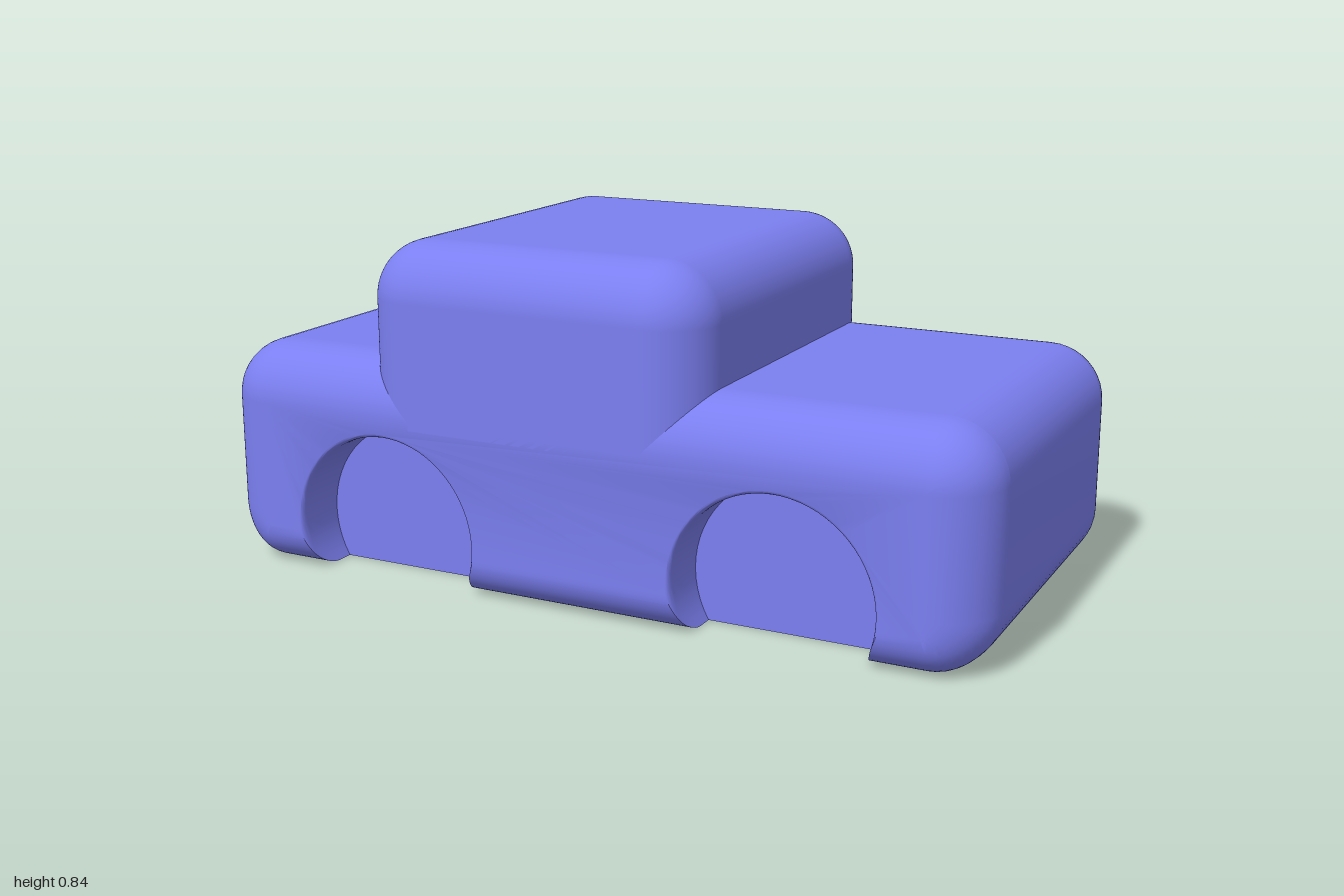
import * as THREE from 'three';
import { mergeGeometries, toCreasedNormals } from 'three/addons/utils/BufferGeometryUtils.js';
import { RoundedBoxGeometry } from 'three/addons/geometries/RoundedBoxGeometry.js';

const HALF = 1, TOP = 0.56, R = 0.14, SILL_R = 0.1, SIDE = 0.53, INNER = SIDE - R;
const WELL_X = 0.51, WELL_Y = 0.125, WELL_R = 0.245, RIM = 0.01;

// Outline of the body, counter-clockwise, shrunk by inset (sill: raised bottom edge)
function outline(inset, sill, wellRadius) {
  const pts = [];
  const arc = (cx, cy, rx, ry, a0, a1, n) => {
    for (let i = 0; i <= n; i++) {
      const a = a0 + (a1 - a0) * i / n;
      pts.push(new THREE.Vector2(cx + rx * Math.cos(a), cy + ry * Math.sin(a)));
    }
  };
  const cx = HALF - R, r = R - inset, q = Math.PI / 2;
  if (wellRadius) {
    const a = Math.asin((sill - WELL_Y) / wellRadius);
    for (const s of [-1, 1]) arc(s * WELL_X, WELL_Y, wellRadius, wellRadius, Math.PI - a, a, 40);
  }
  arc(cx, R, r, R - sill, -q, 0, 10);
  arc(cx, TOP - R, r, r, 0, q, 10);
  arc(-cx, TOP - R, r, r, q, 2 * q, 10);
  arc(-cx, R, r, R - sill, 2 * q, 3 * q, 10);
  return pts;
}

// Skin between successive outlines [{ z, pts }]
function loft(layers) {
  const pos = [];
  for (let k = 0; k + 1 < layers.length; k++) {
    const A = layers[k], B = layers[k + 1], n = A.pts.length;
    for (let i = 0; i < n; i++) {
      const j = (i + 1) % n;
      for (const [L, m] of [[A, i], [A, j], [B, j], [A, i], [B, j], [B, i]]) {
        pos.push(L.pts[m].x, L.pts[m].y, L.z);
      }
    }
  }
  const g = new THREE.BufferGeometry();
  g.setAttribute('position', new THREE.Float32BufferAttribute(pos, 3));
  return g;
}

// Flat end facing +z; points that coincide are dropped first
function cap({ z, pts }) {
  const clean = pts.filter((p, i) => p.distanceTo(pts[(i + 1) % pts.length]) > 1e-5);
  const g = new THREE.ShapeGeometry(new THREE.Shape(clean)).toNonIndexed();
  g.deleteAttribute('normal');
  g.deleteAttribute('uv');
  return g.translate(0, 0, z);
}

// Rounded flank with the two wheel arches cut through it
function flankGeometry() {
  const layers = [], n = 16;
  for (let k = 0; k <= n; k++) {
    const t = Math.PI / 2 * k / n;
    const z = INNER + R * Math.sin(t);
    const d = Math.min(SILL_R, Math.max(0, z - (SIDE - SILL_R)));
    const sill = SILL_R - Math.sqrt(Math.max(0, SILL_R ** 2 - d * d));
    const e = Math.min(1, Math.max(0, (z - SIDE + 0.02) / 0.02));
    const well = WELL_R + RIM * (1 - Math.sqrt(1 - e * e));
    layers.push({ z, pts: outline(R * (1 - Math.cos(t)), sill, well) });
  }
  return toCreasedNormals(mergeGeometries([loft(layers), cap(layers[n])]), 0.6);
}

// Middle of the body; its ends form the backs of the wheel arches
function coreGeometry() {
  const pts = outline(0, 0, 0);
  const end = cap({ z: INNER, pts });
  const back = end.clone().rotateY(Math.PI);
  return toCreasedNormals(mergeGeometries([loft([{ z: -INNER, pts }, { z: INNER, pts }]), end, back]), 0.6);
}

// Cabin block, cut flat just inside the body
function cabinGeometry() {
  const g = new RoundedBoxGeometry(0.9, 0.645, 2 * SIDE, 10, R);
  g.translate(-0.12, 0.845 - 0.645 / 2, 0);
  const p = g.attributes.position;
  for (let i = 0; i < p.count; i++) p.setY(i, Math.max(0.4, p.getY(i)));
  return g;
}

export function createModel() {
  const group = new THREE.Group();
  group.name = 'toyCar';
  const paint = new THREE.MeshStandardMaterial({ color: 0x7b7ff0 });
  const add = (name, geometry) => {
    const mesh = new THREE.Mesh(geometry, paint);
    mesh.name = name;
    group.add(mesh);
    return mesh;
  };
  add('bodyCore', coreGeometry());
  const flank = flankGeometry();
  add('frontFlank', flank);
  add('backFlank', flank).rotation.y = Math.PI;
  add('cabin', cabinGeometry());
  return group;
}
